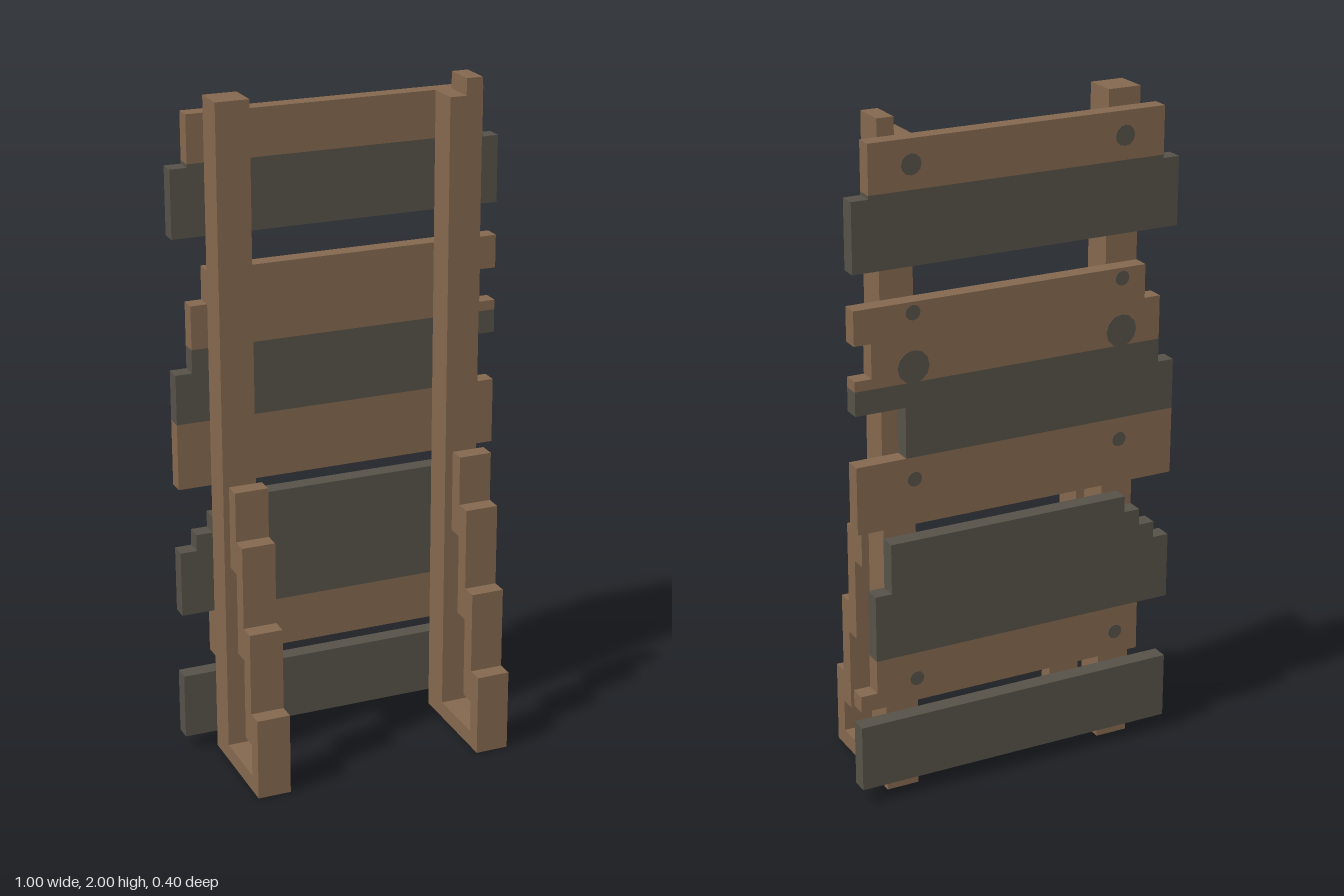
import * as THREE from 'three';

const material = (name, color) => {
  const m = new THREE.MeshStandardMaterial({ color });
  m.name = name;
  return m;
};

export function createModel() {
  const group = new THREE.Group();
  const brown = material('brown wood', 0x84684e);
  const grey = material('dark grey wood', 0x565249);

  const add = (name, geometry, mat) => {
    const mesh = new THREE.Mesh(geometry, mat);
    mesh.name = name;
    group.add(mesh);
    return mesh;
  };

  const extrude = (points, depth) => new THREE.ExtrudeGeometry(
    new THREE.Shape(points.map(([x, y]) => new THREE.Vector2(x, y))),
    { depth, bevelEnabled: false });

  // Stepped board from stacked rows [yBottom, yTop, xMin, xMax], listed bottom to top
  const board = (rows, zBack, depth) => {
    const right = rows.flatMap(([y0, y1, , x1]) => [[x1, y0], [x1, y1]]);
    const left = rows.flatMap(([y0, y1, x0]) => [[x0, y0], [x0, y1]]).reverse();
    const outline = [...right, ...left].filter((p, i, all) => {
      const q = all[(i + 1) % all.length];
      return p[0] !== q[0] || p[1] !== q[1];
    });
    return extrude(outline, depth).translate(0, 0, zBack);
  };

  // Upright posts, one with a chipped top
  add('rightPost', board([[0, 2, -0.4, -0.3]], -0.15, 0.1), brown);
  add('leftPost', board([[0, 1.95, 0.3, 0.4], [1.95, 2, 0.35, 0.4]], -0.15, 0.1), brown);

  // Stepped braces with foot bars, profile given as [z, y]
  const brace = [
    [-0.05, 0], [0.2, 0], [0.2, 0.25], [0.15, 0.25], [0.15, 0.5], [0.1, 0.5],
    [0.1, 0.75], [0.05, 0.75], [0.05, 0.9], [0, 0.9], [0, 0.65], [0.05, 0.65],
    [0.05, 0.4], [0.1, 0.4], [0.1, 0.15], [0.15, 0.15], [0.15, 0.05], [-0.05, 0.05],
  ];
  for (const [name, x] of [['rightBrace', -0.35], ['leftBrace', 0.35]]) {
    add(name, extrude(brace, 0.1).rotateY(-Math.PI / 2).translate(x + 0.05, 0, 0), brown);
  }

  // Broken planks across the back
  const planks = [
    ['bottomPlank', grey, [[0.05, 0.25, -0.5, 0.5]]],
    ['lowerBrownPlank', brown, [[0.3, 0.35, -0.4, 0.5], [0.35, 0.45, -0.4, 0.45]]],
    ['lowerGreyPlank', grey, [[0.45, 0.65, -0.5, 0.45], [0.65, 0.7, -0.45, 0.4],
      [0.7, 0.75, -0.4, 0.4], [0.75, 0.8, -0.35, 0.4]]],
    ['middleBrownPlank', brown, [[0.85, 1.05, -0.5, 0.5]]],
    ['middleGreyPlank', grey, [[1.05, 1.2, -0.5, 0.35], [1.2, 1.27, -0.45, 0.5]]],
    ['upperBrownPlank', brown, [[1.27, 1.3, -0.45, 0.5], [1.3, 1.4, -0.45, 0.45],
      [1.4, 1.5, -0.4, 0.5]]],
    ['topGreyPlank', grey, [[1.6, 1.8, -0.5, 0.5], [1.8, 1.81, -0.45, 0.45]]],
    ['topBrownPlank', brown, [[1.81, 1.95, -0.45, 0.45]]],
  ];
  for (const [name, mat, rows] of planks) add(name, board(rows, -0.2, 0.05), mat);

  // Nail heads and stains on the back, as [y, radius]
  const nails = [[0.37, 0.022], [0.985, 0.022], [1.315, 0.048], [1.47, 0.022], [1.88, 0.03]];
  for (const side of [-1, 1]) {
    for (const [y, radius] of nails) {
      const disc = new THREE.CylinderGeometry(radius, radius, 0.004, 12).rotateX(Math.PI / 2);
      add('nailHead', disc, grey).position.set(side * 0.325, y, -0.2);
    }
  }
  return group;
}
